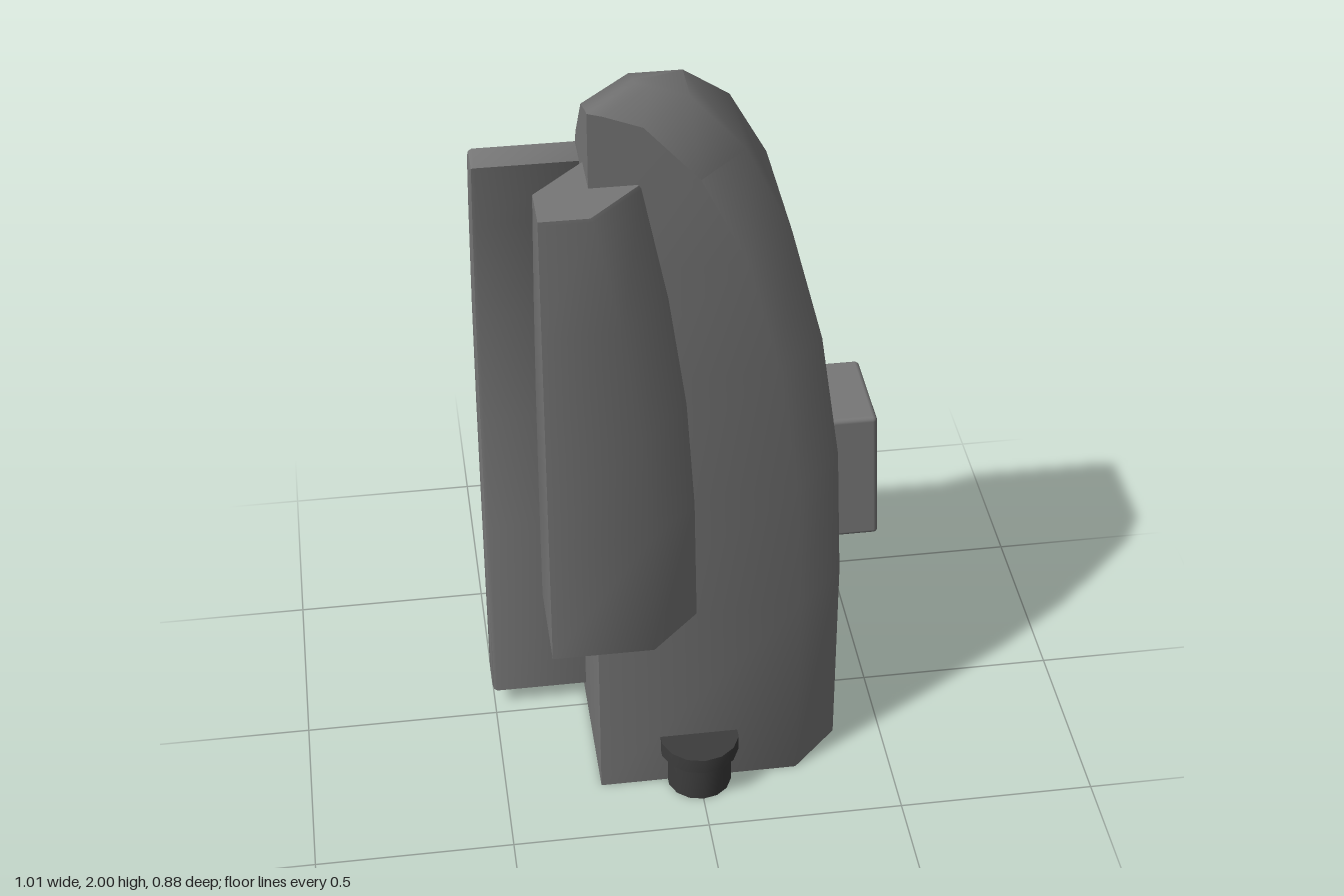
import * as THREE from 'three';
import { toCreasedNormals } from 'three/addons/utils/BufferGeometryUtils.js';
import { RoundedBoxGeometry } from 'three/addons/geometries/RoundedBoxGeometry.js';

const grey = new THREE.MeshStandardMaterial({ color: 0x777777 });
const dark = new THREE.MeshStandardMaterial({ color: 0x3c3c3c });

function add(group, name, geometry, material = grey) {
  const mesh = new THREE.Mesh(geometry, material);
  mesh.name = name;
  group.add(mesh);
  return mesh;
}

// Tower with a fixed front right corner (x0, z1). Its far sides draw in by an
// inset that grows with height; two opposite corners are chamfered by c.
function curvedTower(x0, z1, width, c, levels) {
  const pos = [], index = [], n = 6;
  for (const [y, inset] of levels) {
    const w = width - inset, a = Math.max(w - c, 0), b = Math.min(c, w);
    const ring = [[0, 0], [a, 0], [w, b], [w, w], [b, w], [0, a]];
    for (const [u, v] of ring) pos.push(x0 + u, y, z1 - v);
  }
  const last = (levels.length - 1) * n;
  for (let k = 0; k < last; k += n) {
    for (let i = 0; i < n; i++) {
      const a = k + i, b = k + (i + 1) % n;
      index.push(a, b, b + n, a, b + n, a + n);
    }
  }
  for (let i = 1; i < n - 1; i++) {
    index.push(0, i + 1, i, last, last + i, last + i + 1);
  }
  const g = new THREE.BufferGeometry();
  g.setAttribute('position', new THREE.Float32BufferAttribute(pos, 3));
  g.setIndex(index);
  return toCreasedNormals(g, 0.9);
}

// Rounded box whose outer face (+z) leans inward towards the top
function leaningBox(width, height, depth, lean) {
  const g = new RoundedBoxGeometry(width, height, depth, 2, 0.012);
  const p = g.attributes.position;
  for (let i = 0; i < p.count; i++) {
    if (p.getZ(i) > 0) p.setZ(i, p.getZ(i) - lean * (p.getY(i) / height + 0.5));
  }
  return g;
}

export function createModel() {
  const model = new THREE.Group();
  model.name = 'tower';

  // Main body, curving up to a diagonal ridge
  add(model, 'mainBody', curvedTower(-0.255, 0.317, 0.632, 0.122, [
    [0, 0], [0.55, 0], [0.92, 0.016], [1.27, 0.066], [1.58, 0.146],
    [1.81, 0.256], [1.955, 0.385], [1.99, 0.475], [2, 0.512],
  ]));

  // Smaller curved block wrapping the front right corner
  add(model, 'cornerBlock', curvedTower(-0.38, 0.442, 0.372, 0.122, [
    [0.555, 0], [0.9, 0.006], [1.2, 0.026], [1.5, 0.068], [1.8, 0.128], [1.81, 0.134],
  ]));

  // Curved fin on the right side, drawn in the z-y plane
  const back = [[-0.14, 0.05], [-0.14, 0.6], [-0.127, 0.95], [-0.088, 1.28], [-0.02, 1.58], [0.04, 1.77]];
  const front = back.map(([z, y]) => [z + 0.11 - 0.012 * y, y]).reverse();
  const shape = new THREE.Shape([...back, ...front].map(([z, y]) => new THREE.Vector2(z, y)));
  const fin = new THREE.ExtrudeGeometry(shape, {
    depth: 0.25, bevelSize: 0.012, bevelThickness: 0.012, bevelOffset: -0.012, bevelSegments: 2,
  });
  fin.rotateY(-Math.PI / 2);
  fin.translate(-0.243, 0, 0);
  add(model, 'sideFin', toCreasedNormals(fin, 0.6));

  // Boxes on the left side and on the back
  const sideBox = add(model, 'sideBox', leaningBox(0.258, 0.37, 0.18, 0.016));
  sideBox.rotation.y = Math.PI / 2;
  sideBox.position.set(0.412, 0.74, -0.06);
  const backBox = add(model, 'backBox', leaningBox(0.505, 0.37, 0.18, 0.016));
  backBox.rotation.y = Math.PI;
  backBox.position.set(0.123, 0.74, -0.352);

  // Dark knob half sunk into the foot of the front
  const knob = new THREE.Group();
  knob.name = 'knob';
  knob.position.z = 0.32;
  const parts = [['knobStem', 0.083, 0.12, 0], ['knobCap', 0.102, 0.042, 0.107]];
  for (const [name, r, h, y] of parts) {
    const g = new THREE.CylinderGeometry(r, r, h, 14);
    g.translate(0, y + h / 2, 0);
    add(knob, name, toCreasedNormals(g, 0.6), dark);
  }
  model.add(knob);
  return model;
}
